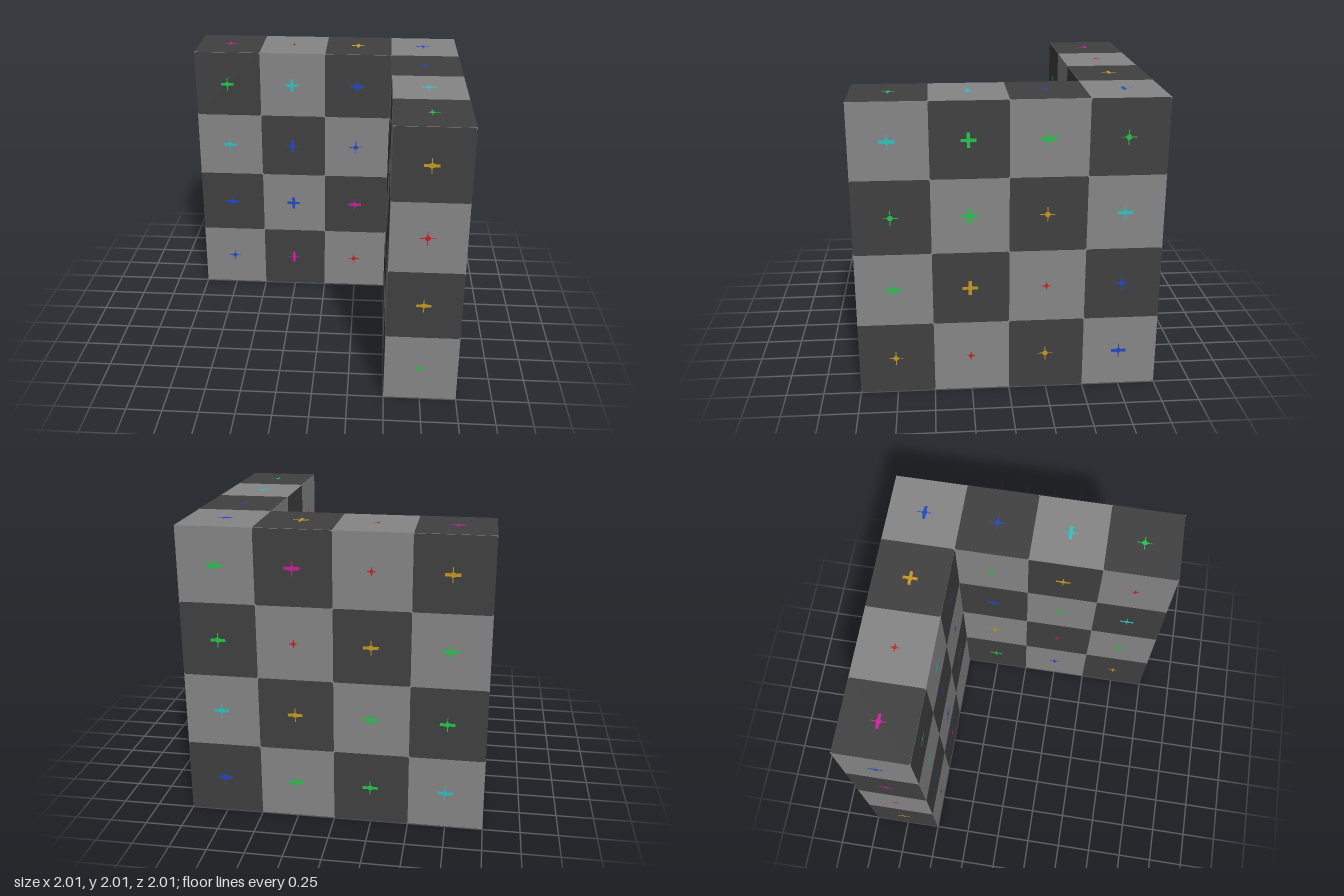
import * as THREE from 'three';
import { mergeGeometries } from 'three/addons/utils/BufferGeometryUtils.js';

const CELL = 0.5;

function material(name, color) {
  const m = new THREE.MeshStandardMaterial({ color });
  m.name = name;
  return m;
}

// Dark checker tile with slightly clipped corners
function tileGeometry() {
  const h = CELL / 2, k = h - 0.01;
  const corners = [[k, -h], [h, -k], [h, k], [k, h], [-k, h], [-h, k], [-h, -k], [-k, -h]];
  return new THREE.ShapeGeometry(new THREE.Shape(corners.map(([x, y]) => new THREE.Vector2(x, y))));
}

// Cross mark: style h/v/b thickens the horizontal, vertical or both bars,
// t keeps both thin, s is a small cross, d is only a dot
function markGeometry(style) {
  const length = { s: 0.055, d: 0.04 }[style] ?? 0.1;
  const thin = 0.006, thick = 0.021;
  const hBar = new THREE.PlaneGeometry(length, 'hb'.includes(style) ? thick : thin);
  const vBar = new THREE.PlaneGeometry('vb'.includes(style) ? thick : thin, length);
  const dot = new THREE.CircleGeometry(style === 's' ? 0.014 : 0.019, 8);
  return mergeGeometries([hBar, vBar, dot]);
}

export function createModel() {
  const model = new THREE.Group();
  model.name = 'checkeredCornerBlock';

  const lightGrey = material('lightGrey', 0x868686);
  const darkGrey = material('darkGrey', 0x404040);
  const markColours = {
    G: material('green', 0x20c84a),
    C: material('cyan', 0x2cc4c4),
    B: material('blue', 0x2247c8),
    Y: material('gold', 0xc49a20),
    R: material('red', 0xc82020),
    M: material('magenta', 0xd01ca0),
  };

  // L-shaped solid, extruded upward from its plan (shape y is -z)
  const plan = [[-1, 0.5], [0.5, 0.5], [0.5, -1], [1, -1], [1, 1], [-1, 1]];
  const solid = new THREE.ExtrudeGeometry(
    new THREE.Shape(plan.map(([x, y]) => new THREE.Vector2(x, y))),
    { depth: 2, bevelEnabled: false },
  ).rotateX(-Math.PI / 2);
  const body = new THREE.Mesh(solid, lightGrey);
  body.name = 'body';
  model.add(body);

  // One face: origin is its upper left corner, rows list colour + style per cell,
  // '--' leaves a cell empty, first is the parity of the dark cells
  function addPanel(name, origin, rotX, rotY, first, rows) {
    const panel = new THREE.Group();
    panel.name = name;
    panel.position.set(...origin);
    panel.rotation.set(rotX, rotY, 0);
    const tiles = [];
    const marks = {};
    rows.forEach((row, r) => row.split(' ').forEach((code, c) => {
      if (code === '--') return;
      const x = (c + 0.5) * CELL, y = -(r + 0.5) * CELL;
      if ((r + c) % 2 === first) tiles.push(tileGeometry().translate(x, y, 0.0015));
      (marks[code[0]] ??= []).push(markGeometry(code[1]).translate(x - 0.006, y, 0.003));
    }));
    const darkTiles = new THREE.Mesh(mergeGeometries(tiles), darkGrey);
    darkTiles.name = 'darkTiles';
    panel.add(darkTiles);
    for (const [key, list] of Object.entries(marks)) {
      const mesh = new THREE.Mesh(mergeGeometries(list), markColours[key]);
      mesh.name = `${markColours[key].name}Marks`;
      panel.add(mesh);
    }
    model.add(panel);
  }

  const Q = Math.PI / 2;
  addPanel('innerFrontFace', [-1, 2, -0.5], 0, 0, 0,
    ['Gh Cb Bh', 'Ch Bv Bt', 'Bh Bb Mh', 'Bt Mv Rt']);
  addPanel('frontEnd', [0.5, 2, 1], 0, 0, 0, ['Yh', 'Rt', 'Yh', 'Gd']);
  addPanel('outerSideFace', [1, 2, 1], 0, Q, 1,
    ['Ch Gb Gh Gt', 'Gt Gb Yt Ch', 'Gh Yb Rs Bt', 'Yt Rs Yt Bh']);
  addPanel('backFace', [1, 2, -1], 0, Math.PI, 1,
    ['Gh Mh Rs Yh', 'Gh Rs Yh Gh', 'Ch Yh Gh Gh', 'Bh Gh Gh Ch']);
  addPanel('sideEnd', [-1, 2, -1], 0, -Q, 1, ['Bh', 'Mh', 'Rs', 'Yh']);
  addPanel('innerSideFace', [0.5, 2, -0.5], 0, -Q, 1,
    ['Gt Yh Rs', 'Bh Gt Ch', 'Yt Rs Gh', 'Gh Bt Yt']);
  addPanel('topFace', [-1, 2, -1], -Q, 0, 0,
    ['Mh Rs Yb Bh', '-- -- -- Bt', '-- -- -- Ch', '-- -- -- Gt']);
  addPanel('bottomFace', [-1, 0, 1], Q, 0, 0,
    ['-- -- -- Gh', '-- -- -- Yh', '-- -- -- Rs', 'Gh Gh Ch Yh']);

  return model;
}
